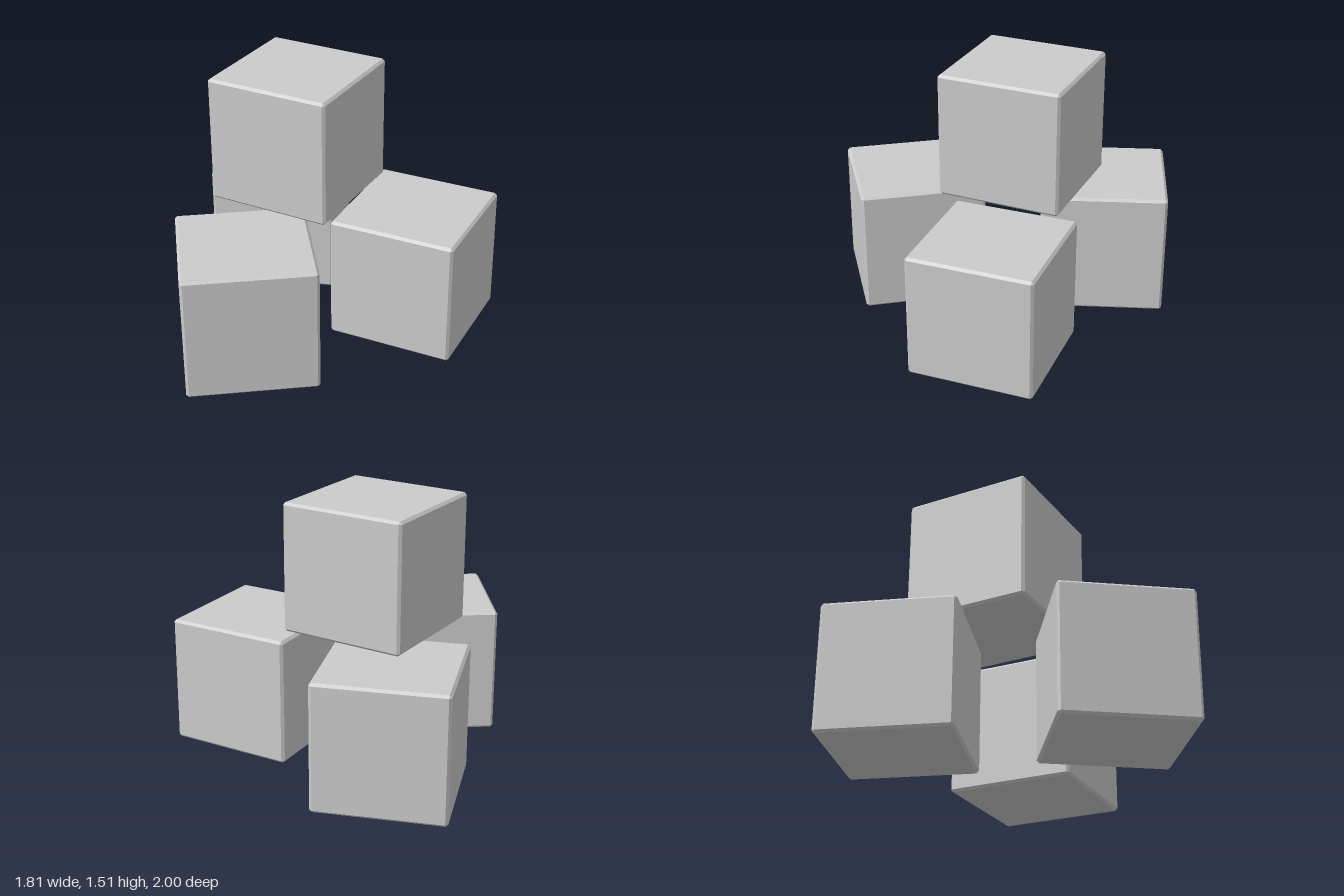
import * as THREE from 'three';
import { ConvexGeometry } from 'three/addons/geometries/ConvexGeometry.js';

const SIZE = 0.745;
const BEVEL = 0.015;

// Cube with flat chamfered edges: three points around each corner.
function chamferedCube(size, bevel) {
  const outer = size / 2;
  const inner = outer - bevel;
  const points = [];
  for (const x of [-1, 1]) for (const y of [-1, 1]) for (const z of [-1, 1]) {
    points.push(
      new THREE.Vector3(x * outer, y * inner, z * inner),
      new THREE.Vector3(x * inner, y * outer, z * inner),
      new THREE.Vector3(x * inner, y * inner, z * outer)
    );
  }
  return new ConvexGeometry(points);
}

export function createModel() {
  const group = new THREE.Group();
  group.name = 'stackedCubes';
  const geometry = chamferedCube(SIZE, BEVEL);
  const material = new THREE.MeshStandardMaterial({ color: 0xcccccc, flatShading: true });

  // Three cubes on the ground and one resting above: name, x, base y, z, turn in degrees
  const cubes = [
    ['backCube', -0.45, 0, -0.628, 0],
    ['leftCube', 0.444, 0, -0.01, -17.3],
    ['frontCube', -0.452, 0, 0.538, 16],
    ['topCube', -0.258, 0.77, -0.137, -20],
  ];
  for (const [name, x, baseY, z, turn] of cubes) {
    const cube = new THREE.Mesh(geometry, material);
    cube.name = name;
    cube.position.set(x, baseY + SIZE / 2, z);
    cube.rotation.y = THREE.MathUtils.degToRad(turn);
    group.add(cube);
  }
  return group;
}
